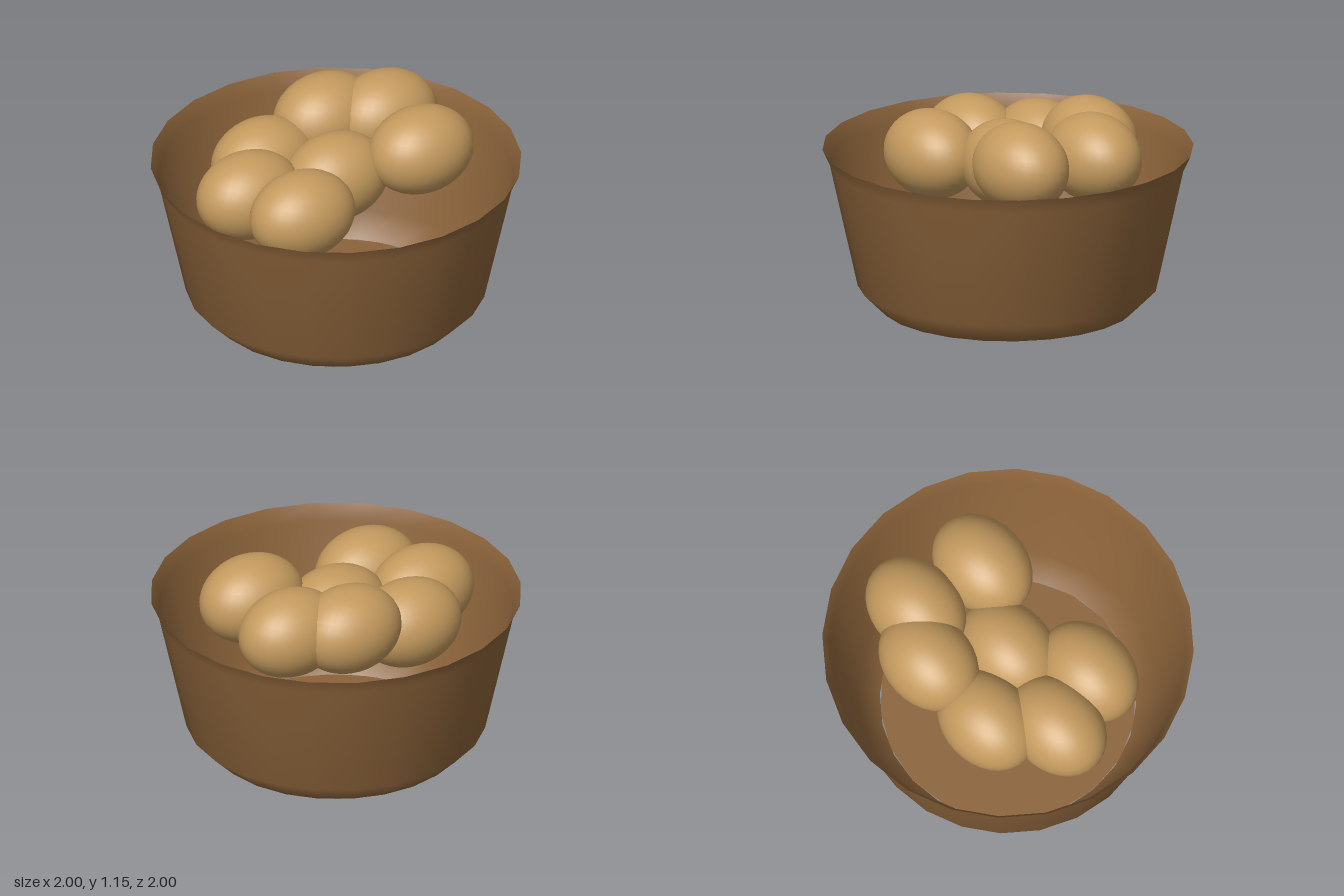
import * as THREE from 'three';

export function createModel() {
  const model = new THREE.Group();
  const brown = new THREE.MeshStandardMaterial({ color: 0x8b633a, side: THREE.DoubleSide });
  brown.name = 'bowl brown';
  const tan = new THREE.MeshStandardMaterial({ color: 0xc49a5e });
  tan.name = 'egg tan';

  // Thin open wall with a chamfered foot and a flared lip
  const profile = [[0.69, 0], [0.81, 0.12], [0.96, 0.8], [1, 0.885]]
    .map(([r, y]) => new THREE.Vector2(r, y));
  const wall = new THREE.Mesh(new THREE.LatheGeometry(profile, 24), brown);
  wall.name = 'bowlWall';
  model.add(wall);

  // Flat floor disc
  const floor = new THREE.Mesh(new THREE.CircleGeometry(0.69, 20), brown);
  floor.name = 'bowlFloor';
  floor.rotation.x = Math.PI / 2;
  floor.position.y = 0.001;
  model.add(floor);

  // Heap of eggs, all lying along x
  const eggs = new THREE.Group();
  eggs.name = 'eggs';
  const eggGeometry = new THREE.SphereGeometry(1, 32, 20).scale(0.305, 0.24, 0.24);
  [
    [0, 0.79, 0],
    [-0.385, 0.79, 0.235],
    [-0.5, 0.79, -0.1],
    [-0.225, 0.79, -0.355],
    [0.205, 0.91, -0.39],
    [0.48, 0.91, -0.235],
    [0.42, 0.91, 0.195],
  ].forEach((position, i) => {
    const egg = new THREE.Mesh(eggGeometry, tan);
    egg.name = `egg${i + 1}`;
    egg.position.set(...position);
    eggs.add(egg);
  });
  model.add(eggs);

  return model;
}
